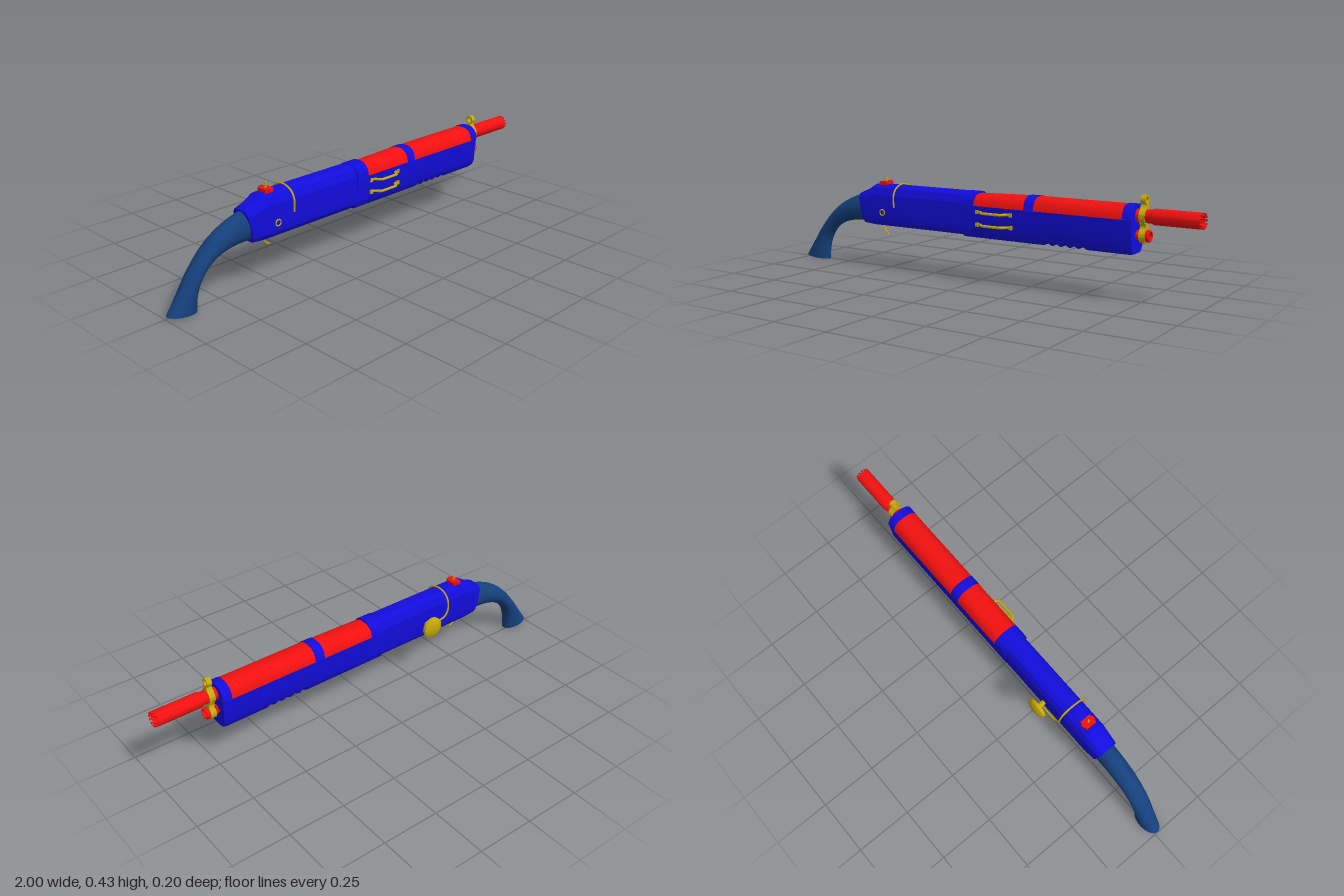
import * as THREE from 'three';
import { toCreasedNormals } from 'three/addons/utils/BufferGeometryUtils.js';

const V = (x, y, z) => new THREE.Vector3(x, y, z);
const mat = (color) => new THREE.MeshStandardMaterial({ color, side: THREE.DoubleSide });

// Closed solid through rings of points, ordered from low x to high x
function loft(rings, crease = 0.5) {
  const pos = [];
  const tri = (...ps) => ps.forEach((p) => pos.push(p.x, p.y, p.z));
  const n = rings[0].length;
  const mid = (r) => r.reduce((s, p) => s.add(p), V(0, 0, 0)).divideScalar(n);
  const first = rings[0], last = rings[rings.length - 1];
  const ca = mid(first), cb = mid(last);
  for (let i = 0; i < n; i++) {
    const j = (i + 1) % n;
    for (let k = 0; k + 1 < rings.length; k++) {
      const a = rings[k], b = rings[k + 1];
      tri(a[i], a[j], b[j], a[i], b[j], b[i]);
    }
    tri(ca, first[j], first[i], cb, last[i], last[j]);
  }
  const g = new THREE.BufferGeometry();
  g.setAttribute('position', new THREE.Float32BufferAttribute(pos, 3));
  return toCreasedNormals(g, crease);
}

// Mirrored ring from a half profile [halfWidth, y], listed top to bottom
function ring(x, half, shear = 0) {
  const at = (s) => ([w, y]) => V(x + shear * (0.345 - y), y, s * w);
  return [...half.map(at(1)), ...half.map(at(-1)).reverse()];
}

// Body of revolution along x at height y, profile [radius, x]
function turned(profile, y, sides = 28) {
  const g = new THREE.LatheGeometry(profile.map(([r, x]) => new THREE.Vector2(r, x)), sides);
  return toCreasedNormals(g.rotateZ(-Math.PI / 2).translate(0, y, 0), 0.5);
}
const pipe = (x0, x1, ro, ri, y) => turned([[ri, x0], [ro, x0], [ro, x1], [ri, x1], [ri, x0]], y);

function wire(points, r, tension = 0.5) {
  const curve = new THREE.CatmullRomCurve3(points.map((p) => V(...p)), false, 'catmullrom', tension);
  return new THREE.TubeGeometry(curve, 48, r, 8);
}

export function createModel() {
  const model = new THREE.Group();
  const body = new THREE.Group();
  body.name = 'shotgun';
  body.position.z = 0.012;
  model.add(body);

  const blue = mat(0x120ddd), red = mat(0xf21010), gold = mat(0xc4a80c), navy = mat(0x15407c);
  const add = (name, geo, m) => {
    const mesh = new THREE.Mesh(geo, m);
    mesh.name = name;
    body.add(mesh);
    return mesh;
  };
  const box = (name, m, w, h, d, x, y, z) =>
    add(name, new THREE.BoxGeometry(w, h, d).translate(x, y, z), m);

  // Curved pistol stock, lofted between its outer and inner edges
  const outer = new THREE.CatmullRomCurve3([V(-1, 0.018, 0), V(-0.95, 0.085, 0), V(-0.9, 0.155, 0),
    V(-0.83, 0.235, 0), V(-0.77, 0.284, 0), V(-0.7, 0.32, 0), V(-0.62, 0.345, 0)]);
  const inner = new THREE.CatmullRomCurve3([V(-0.868, 0.004, 0), V(-0.866, 0.06, 0), V(-0.85, 0.115, 0),
    V(-0.81, 0.165, 0), V(-0.755, 0.195, 0), V(-0.69, 0.21, 0), V(-0.6, 0.213, 0)]);
  const stock = [];
  for (let k = 0; k <= 24; k++) {
    const t = k / 24, o = outer.getPoint(t), i = inner.getPoint(t);
    const c = o.clone().add(i).multiplyScalar(0.5), h = o.clone().sub(c);
    const w = 0.038 + 0.006 * t;
    stock.push(Array.from({ length: 24 }, (_, n) => {
      const a = (n / 24) * Math.PI * 2;
      return c.clone().addScaledVector(h, Math.cos(a)).add(V(0, 0, w * Math.sin(a)));
    }));
  }
  add('stock', loft(stock, 0.7), navy);

  // Receiver with sloping rear, and the collar in front of it
  const rear = [[0.02, 0.345], [0.035, 0.341], [0.046, 0.325], [0.05, 0.26], [0.045, 0.23], [0.033, 0.21]];
  const shoulder = [[0.02, 0.365], [0.036, 0.358], [0.05, 0.335], [0.053, 0.255], [0.048, 0.228], [0.034, 0.207]];
  const full = [[0.022, 0.39], [0.041, 0.378], [0.053, 0.345], [0.054, 0.25], [0.049, 0.225], [0.034, 0.205]];
  add('receiver', loft([ring(-0.64, rear, 0.2), ring(-0.59, shoulder, 0.1), ring(-0.55, full),
    ring(-0.05, full)], 0.25), blue);
  const lower = [[0.061, 0.337], [0.0575, 0.3], [0.053, 0.232], [0.043, 0.206], [0.031, 0.197]];
  const upper = [[0.012, 0.393], [0.03, 0.389], [0.046, 0.378], [0.057, 0.36], [0.061, 0.337]];
  add('collar', loft([-0.06, 0.004].map((x) => ring(x, [...upper, ...lower.slice(1)])), 0.3), blue);

  // Fore-end with finger scallops along the underside
  const fore = [ring(0, lower)];
  for (let k = 0; k <= 40; k++) {
    const x = 0.33 + (k / 40) * 0.2;
    const lift = 0.009 * Math.sin((k / 40) * Math.PI * 5) ** 2;
    fore.push(ring(x, lower.map(([w, y], i) => [w, i > 2 ? y + lift : y])));
  }
  fore.push(ring(0.715, lower), ring(0.73, lower.map(([w, y]) => [w * 0.97, y + (y < 0.22 ? 0.003 : 0)])));
  add('foreEnd', loft(fore, 0.6), blue);

  // Heat shield panels and the bands that hold them
  const low = upper.map(([w, y]) => [w, 0.337 + (y - 0.337) * 0.86]);
  add('rearShield', loft([ring(0.004, low), ring(0.255, upper)], 0.6), red);
  add('frontShield', loft([ring(0.29, upper), ring(0.695, upper)], 0.6), red);
  const band = upper.map(([w, y]) => [w + 0.001, y + 0.002]);
  [[0.25, 0.295], [0.69, 0.73]].forEach(([a, b]) =>
    add('shieldBand', loft([ring(a, band), ring(b, band)], 0.6), blue));

  // Hollow barrel with a toothed muzzle, and the magazine tube
  add('barrel', turned([[0.024, 0.73], [0.027, 0.73], [0.027, 0.79], [0.032, 0.8], [0.032, 0.99],
    [0.025, 0.99], [0.024, 0.73]], 0.35), red);
  for (let k = 0; k < 12; k++) {
    const a = (k / 12) * Math.PI * 2;
    const tooth = new THREE.BoxGeometry(0.012, 0.006, 0.008).translate(0.994, 0.0285, 0);
    add('muzzleTooth', tooth.rotateX(a).translate(0, 0.35, 0), red);
  }
  add('magazineTube', turned([[0.018, 0.73], [0.02, 0.73], [0.02, 0.765], [0.024, 0.77], [0.024, 0.782],
    [0.021, 0.786], [0.018, 0.786], [0.018, 0.73]], 0.272), red);
  add('magazinePin', new THREE.CylinderGeometry(0.003, 0.003, 0.04, 8)
    .rotateX(Math.PI / 2).translate(0.745, 0.3, -0.031), red);

  // Barrel clamp: two rings, flared webs between and above, and a ring sight
  add('barrelClamp', pipe(0.745, 0.77, 0.031, 0.026, 0.35), gold);
  add('magazineClamp', pipe(0.745, 0.77, 0.028, 0.019, 0.272), gold);
  add('ringSight', pipe(0.747, 0.768, 0.019, 0.012, 0.414), gold);
  const web = (name, y0, w0, y1, w1, waist) => {
    const s = new THREE.Shape(), m = (y0 + y1) / 2;
    s.moveTo(-w0, y0);
    s.lineTo(w0, y0);
    s.quadraticCurveTo(waist, m, w1, y1);
    s.lineTo(-w1, y1);
    s.quadraticCurveTo(-waist, m, -w0, y0);
    const g = new THREE.ExtrudeGeometry(s, { depth: 0.025, bevelEnabled: false, curveSegments: 8 });
    add(name, g.rotateY(Math.PI / 2).translate(0.745, 0, 0), gold);
  };
  web('clampWeb', 0.293, 0.022, 0.323, 0.02, 0.004);
  web('sightPost', 0.378, 0.02, 0.4, 0.009, 0.006);

  // Rear sight block with ears and a thin post
  box('rearSight', red, 0.04, 0.022, 0.05, -0.51, 0.392, 0);
  [-1, 1].forEach((s) => box('rearSightEar', red, 0.018, 0.011, 0.006, -0.51, 0.4, s * 0.027));
  add('rearSightPost', new THREE.CylinderGeometry(0.004, 0.005, 0.03, 10).translate(-0.51, 0.414, 0), gold);

  // Trigger hook and side ring
  add('trigger', wire([[-0.537, 0.215, 0], [-0.528, 0.19, 0], [-0.517, 0.172, 0], [-0.503, 0.163, 0]], 0.004), gold);
  add('sideRing', new THREE.TorusGeometry(0.013, 0.003, 8, 20).translate(-0.495, 0.266, 0.054), gold);

  // Twin side rails on the fore-end
  [0.312, 0.258].forEach((y, i) => {
    const out = 0.086 - i * 0.004;
    add('sideRail', wire([[0.025, y, 0.054], [0.04, y, 0.058], [0.062, y, out], [0.15, y, out],
      [0.17, y, 0.058], [0.188, y, 0.054]], 0.006, 0.1), gold);
    [0.022, 0.188].forEach((x) => box('railFoot', gold, 0.014, 0.017, 0.012, x, y, 0.056));
  });

  // Wire over the receiver leading to the round side knob
  add('wire', wire([[-0.42, 0.295, 0.064], [-0.42, 0.345, 0.066], [-0.42, 0.38, 0.045], [-0.42, 0.396, 0],
    [-0.42, 0.386, -0.043], [-0.42, 0.355, -0.066], [-0.418, 0.31, -0.069], [-0.395, 0.284, -0.07],
    [-0.35, 0.278, -0.07], [-0.308, 0.278, -0.07]], 0.004), gold);
  const knob = [[0, -0.045], [0.011, -0.045], [0.011, -0.084], [0.047, -0.086], [0.047, -0.099],
    [0.034, -0.107], [0.017, -0.111], [0, -0.112]];
  const knobGeo = new THREE.LatheGeometry(knob.map(([r, z]) => new THREE.Vector2(r, -z)), 32);
  add('sideKnob', toCreasedNormals(knobGeo.rotateX(-Math.PI / 2).translate(-0.308, 0.278, 0), 0.5), gold);

  return model;
}
